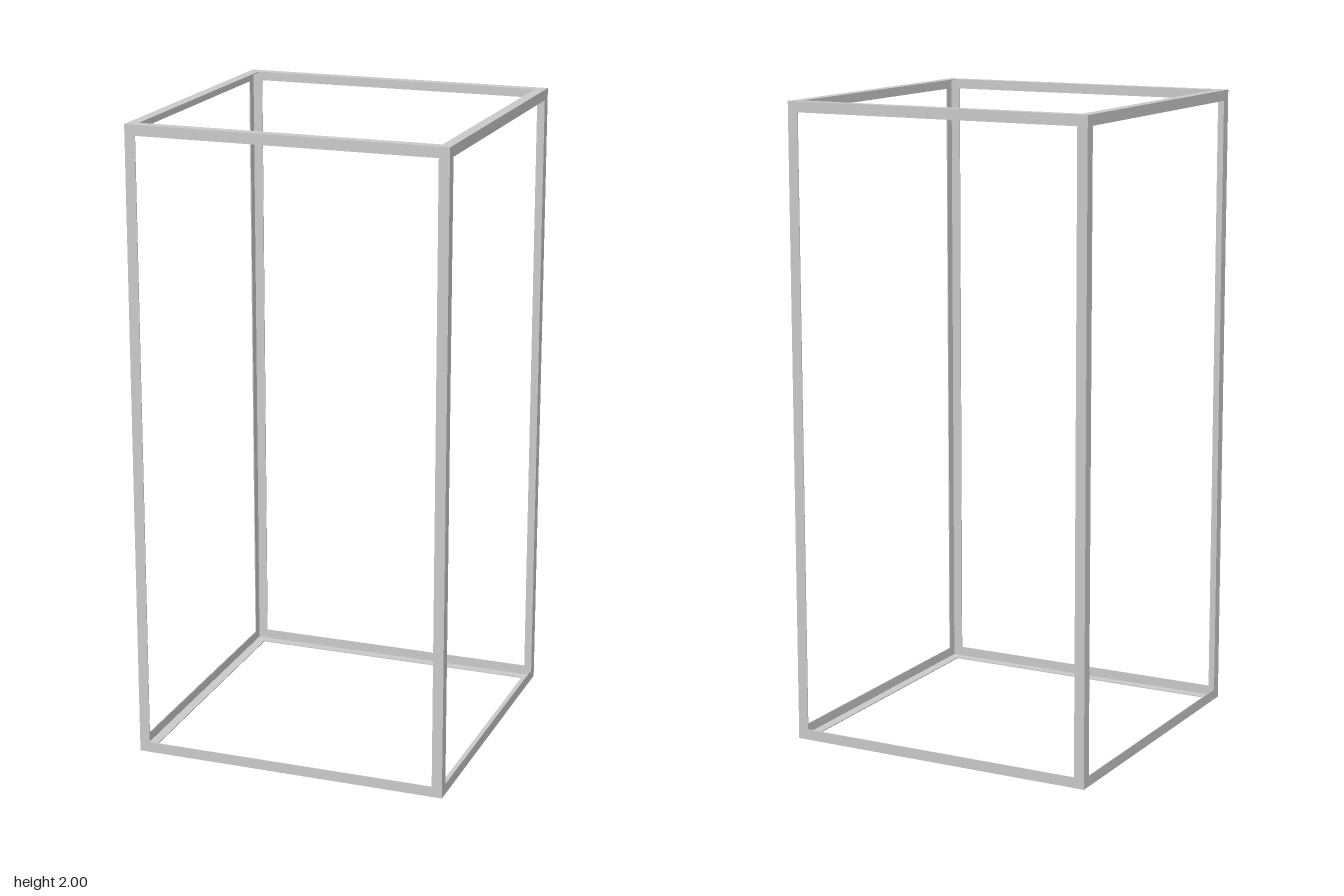
import * as THREE from 'three';

const HEIGHT = 2, SIDE = 1, WIDTH = 0.033, THICK = 0.003;
const material = new THREE.MeshStandardMaterial({ color: 0xcccccc, flatShading: true });

// L-shaped angle bar along z, its outer edge on the z axis, legs along +x and +y, ends mitred
function angleBar(length) {
  const w = WIDTH, t = THICK;
  const profile = new THREE.Shape(
    [[0, 0], [w, 0], [w, t], [t, t], [t, w], [0, w]].map(([x, y]) => new THREE.Vector2(x, y))
  );
  const geometry = new THREE.ExtrudeGeometry(profile, { depth: length, bevelEnabled: false });
  geometry.translate(0, 0, -length / 2);
  const p = geometry.attributes.position;
  for (let i = 0; i < p.count; i++) {
    const inset = Math.max(p.getX(i), p.getY(i));
    p.setZ(i, Math.sign(p.getZ(i)) * (length / 2 - inset));
  }
  geometry.computeVertexNormals();
  return geometry;
}

// Four copies of a bar, turned in quarter steps around the vertical axis
function fourAround(geometry, groupName, barName) {
  const group = new THREE.Group();
  group.name = groupName;
  for (let k = 0; k < 4; k++) {
    const bar = new THREE.Mesh(geometry, material);
    bar.name = barName;
    bar.rotation.y = k * Math.PI / 2;
    group.add(bar);
  }
  return group;
}

export function createModel() {
  const model = new THREE.Group();
  model.name = 'openFrame';

  // Square base frame, and the same frame turned over for the top
  const rail = angleBar(SIDE).translate(-SIDE / 2, 0, 0);
  const topFrame = fourAround(rail, 'topFrame', 'topRail');
  topFrame.rotation.z = Math.PI;
  topFrame.position.y = HEIGHT;
  model.add(fourAround(rail, 'bottomFrame', 'bottomRail'), topFrame);

  // Corner posts
  const post = angleBar(HEIGHT).rotateX(-Math.PI / 2).translate(-SIDE / 2, HEIGHT / 2, SIDE / 2);
  model.add(fourAround(post, 'cornerPosts', 'cornerPost'));

  return model;
}
